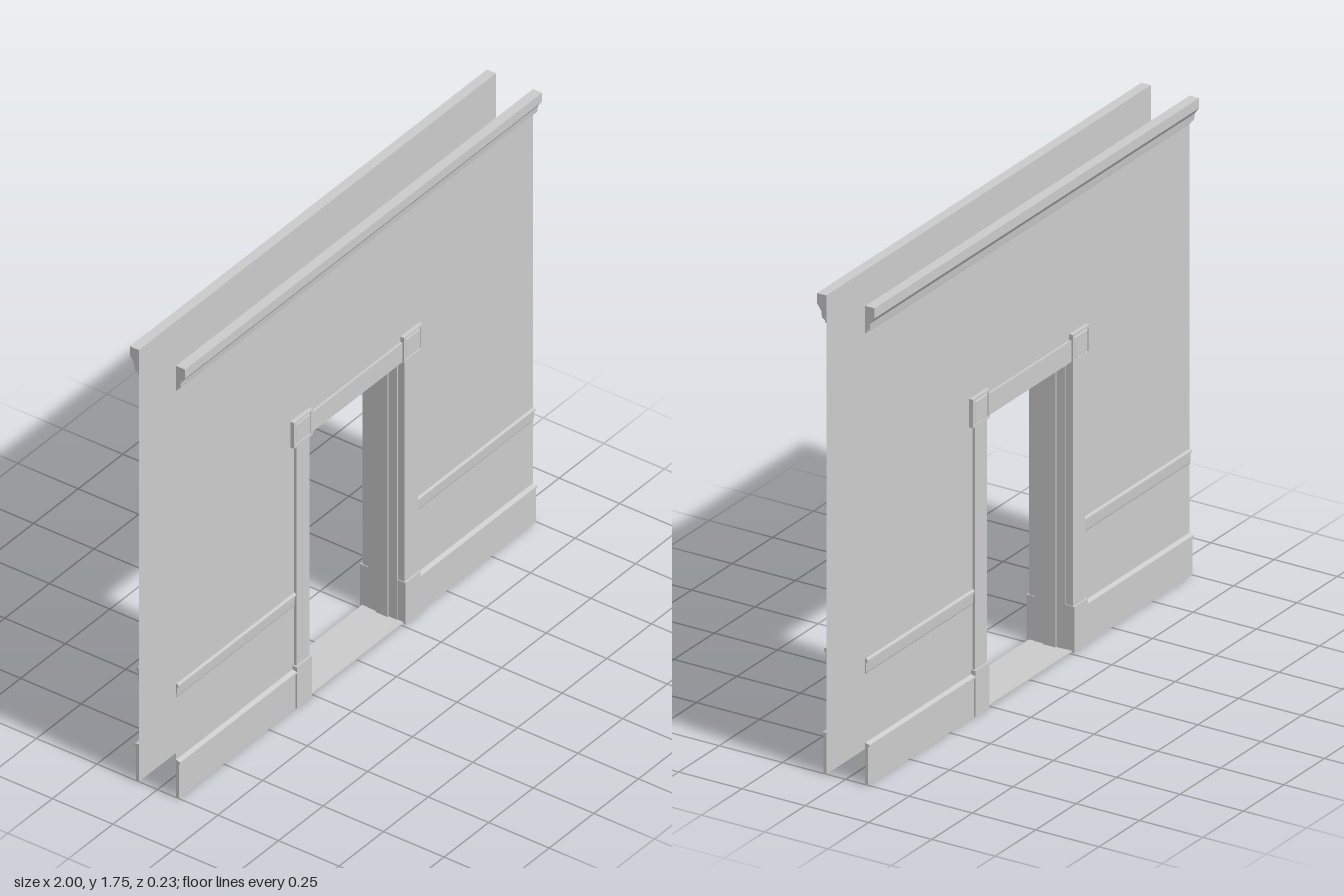
import * as THREE from 'three';

const mat = new THREE.MeshStandardMaterial({ color: 0xcccccc, flatShading: true, side: THREE.DoubleSide });
const WALL_Z = 0.077;
const TOP = 1.75;

function add(parent, name, geometry, x = 0, y = 0, z = 0) {
  const mesh = new THREE.Mesh(geometry, mat);
  mesh.name = name;
  mesh.position.set(x, y, z);
  parent.add(mesh);
  return mesh;
}

// box given by its limits
function block(parent, name, x0, x1, y0, y1, z0, z1) {
  return add(parent, name, new THREE.BoxGeometry(x1 - x0, y1 - y0, z1 - z0),
    (x0 + x1) / 2, (y0 + y1) / 2, (z0 + z1) / 2);
}

// sweep a [z, y] profile along x from x0 to x1
function moulding(parent, name, profile, x0, x1) {
  const shape = new THREE.Shape(profile.map(([z, y]) => new THREE.Vector2(-z, y)));
  const geometry = new THREE.ExtrudeGeometry(shape, { depth: x1 - x0, bevelEnabled: false });
  geometry.rotateY(Math.PI / 2);
  return add(parent, name, geometry, x0);
}

const crown = [[WALL_Z, 1.65], [0.081, 1.65], [0.083, 1.66], [0.094, 1.665],
  [0.097, 1.69], [0.114, 1.713], [0.114, TOP], [WALL_Z, TOP]];
const chairRail = [[WALL_Z, 0.405], [0.079, 0.41], [0.081, 0.445], [0.086, 0.449],
  [0.086, 0.456], [0.082, 0.461], [WALL_Z, 0.461]];
const baseboard = [[WALL_Z, 0], [0.088, 0], [0.088, 0.138], [0.094, 0.142],
  [0.094, 0.148], [WALL_Z, 0.153]];

// Everything on one face of the wall
function wallFace() {
  const face = new THREE.Group();
  face.name = 'wallFace';

  // thin sheet with the doorway cut out
  const sheet = new THREE.Shape([[-1, 0], [-0.3, 0], [-0.3, 1.1], [0.3, 1.1], [0.3, 0],
    [1, 0], [1, TOP], [-1, TOP]].map(([x, y]) => new THREE.Vector2(x, y)));
  add(face, 'wallSheet', new THREE.ShapeGeometry(sheet), 0, 0, WALL_Z);
  moulding(face, 'crownMoulding', crown, -1, 1);

  for (const s of [-1, 1]) {
    const [x0, x1] = s > 0 ? [0.335, 1] : [-1, -0.335];
    moulding(face, 'chairRail', chairRail, x0, x1);
    moulding(face, 'baseboard', baseboard, x0, x1);

    // raised square with a sunken, sloped centre on each corner block
    const rim = new THREE.Shape();
    const a = 0.052, b = 0.043;
    rim.moveTo(-a, -a).lineTo(a, -a).lineTo(a, a).lineTo(-a, a).closePath();
    const hole = new THREE.Path();
    hole.moveTo(-b, -b).lineTo(-b, b).lineTo(b, b).lineTo(b, -b).closePath();
    rim.holes.push(hole);
    add(face, 'cornerBlockRim',
      new THREE.ExtrudeGeometry(rim, { depth: 0.005, bevelEnabled: false }),
      s * 0.308, 1.112, 0.088);
    const centre = new THREE.CylinderGeometry(0.038 * Math.SQRT2, b * Math.SQRT2, 0.005, 4);
    centre.rotateY(Math.PI / 4).rotateX(Math.PI / 2);
    add(face, 'cornerBlockCentre', centre, s * 0.308, 1.112, 0.0905);
  }
  return face;
}

export function createModel() {
  const model = new THREE.Group();
  model.name = 'wallWithDoorway';

  // both faces match
  const front = wallFace();
  const back = wallFace();
  back.rotation.y = Math.PI;
  model.add(front, back);

  // door frame, running through the wall
  const frame = new THREE.Group();
  frame.name = 'doorFrame';
  for (const s of [-1, 1]) {
    const side = (name, a, b, y0, y1, d) =>
      block(frame, name, Math.min(s * a, s * b), Math.max(s * a, s * b), y0, y1, -d, d);
    side('jambCasing', 0.265, 0.34, 0.165, 1.06, 0.087);
    side('plinthBlock', 0.262, 0.347, 0, 0.168, 0.094);
    side('cornerBlock', 0.256, 0.36, 1.06, 1.164, 0.088);
    side('jambLiner', 0.26, 0.266, 0, 1.06, 0.06);
    side('doorStop', 0.254, 0.262, 0, 1.058, 0.025);
  }
  block(frame, 'headCasing', -0.257, 0.257, 1.064, 1.142, -0.086, 0.086);
  block(frame, 'headLiner', -0.262, 0.262, 1.058, 1.066, -0.06, 0.06);
  block(frame, 'headStop', -0.26, 0.26, 1.05, 1.06, -0.025, 0.025);
  block(frame, 'threshold', -0.265, 0.265, 0, 0.006, -0.085, 0.085);
  model.add(frame);

  return model;
}
